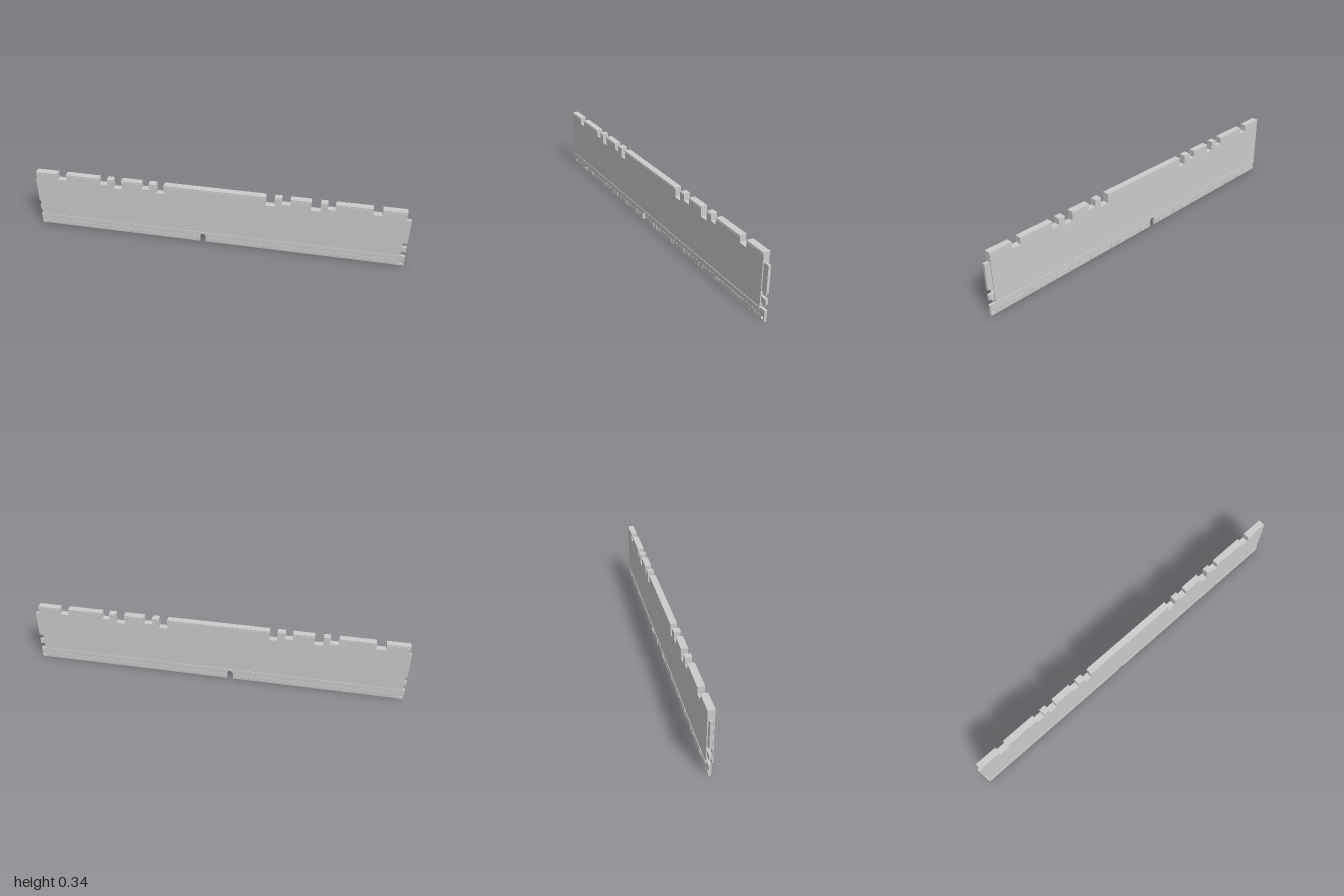
import * as THREE from 'three';

const grey = new THREE.MeshStandardMaterial({ color: 0xcccccc, flatShading: true });

// Spreader extents, and notches along its top as [left, right, floor height]
const X0 = -0.988, X1 = 0.974, TOP = 0.342, DEEP = 0.29, SHALLOW = 0.306;
const NOTCHES = [
  [-0.868, -0.82, SHALLOW], [-0.634, -0.59, SHALLOW], [-0.556, -0.511, DEEP],
  [-0.4, -0.361, SHALLOW], [-0.32, -0.28, DEEP], [0.261, 0.307, DEEP],
  [0.344, 0.388, SHALLOW], [0.495, 0.543, DEEP], [0.579, 0.618, SHALLOW], [0.806, 0.853, SHALLOW],
];

function slab(name, shape, zMin, zMax) {
  const geo = new THREE.ExtrudeGeometry(shape, { depth: zMax - zMin, bevelEnabled: false, curveSegments: 8 });
  geo.translate(0, 0, zMin);
  const mesh = new THREE.Mesh(geo, grey);
  mesh.name = name;
  return mesh;
}

function box(name, x0, x1, y0, y1, z0, z1) {
  const mesh = new THREE.Mesh(new THREE.BoxGeometry(x1 - x0, y1 - y0, z1 - z0), grey);
  mesh.position.set((x0 + x1) / 2, (y0 + y1) / 2, (z0 + z1) / 2);
  mesh.name = name;
  return mesh;
}

// Rectangle with the notches cut into its top edge
function notchedShape(bottom, top) {
  const s = new THREE.Shape();
  s.moveTo(X0, bottom);
  s.lineTo(X1, bottom);
  s.lineTo(X1, top);
  for (const [a, b, floor] of [...NOTCHES].reverse()) {
    s.lineTo(b, top);
    s.lineTo(b, floor);
    s.lineTo(a, floor);
    s.lineTo(a, top);
  }
  s.lineTo(X0, top);
  s.closePath();
  return s;
}

// Circuit board with key slot, stepped ends and corner holes
function boardShape() {
  const s = new THREE.Shape();
  const key = -0.075, r = 0.016, inset = 0.962;
  const end = [[1, 0], [1, 0.06], [inset, 0.06], [inset, 0.09], [1, 0.09], [1, 0.118],
    [inset, 0.118], [inset, 0.146], [1, 0.146], [1, 0.29]];
  s.moveTo(-1, 0);
  s.lineTo(key - r, 0);
  s.lineTo(key - r, 0.032);
  s.absarc(key, 0.032, r, Math.PI, 0, true);
  s.lineTo(key + r, 0);
  end.forEach(([x, y]) => s.lineTo(x, y));
  [...end].reverse().forEach(([x, y]) => s.lineTo(-x, y));
  for (const x of [-0.986, 0.986]) {
    const hole = new THREE.Path();
    hole.absarc(x, 0.017, 0.008, 0, Math.PI * 2, true);
    s.holes.push(hole);
  }
  return s;
}

// Contact pads wrap the lower edge: one wide pad then four narrow ones, repeated
function contacts() {
  const group = new THREE.Group();
  group.name = 'edgeContacts';
  const s = new THREE.Shape();
  s.moveTo(-0.005, 0.001);
  s.lineTo(0.005, 0.001);
  s.lineTo(0.0085, 0.006);
  s.lineTo(0.0085, 0.03);
  s.lineTo(-0.0085, 0.03);
  s.lineTo(-0.0085, 0.006);
  s.closePath();
  const addPad = (x, width) => {
    const pad = slab('contactPad', s, 0, width);
    pad.rotation.y = Math.PI / 2;
    pad.position.x = x;
    group.add(pad);
  };
  const fill = (from, to, count) => {
    const pitch = (to - from) / count;
    for (let i = 0; i < count; i++) {
      const x = from + i * pitch;
      addPad(x, pitch * 0.54);
      for (let j = 0; j < 4; j++) addPad(x + pitch * (0.57 + j * 0.11), pitch * 0.08);
    }
  };
  fill(-0.965, -0.096, 6);
  fill(-0.054, 0.965, 7);
  return group;
}

// One side plate: recessed core, main face, and lips along the lower and upper edges
function sidePlate(name) {
  const group = new THREE.Group();
  group.name = name;
  group.add(slab('plateCore', notchedShape(0.061, TOP), 0.0115, 0.0145));
  group.add(slab('plateFace', notchedShape(0.071, 0.333), 0.0145, 0.0165));
  group.add(box('lowerLip', X0, X1, 0.06, 0.067, 0.0125, 0.0175));
  let start = X0;
  for (const [a, b] of [...NOTCHES, [X1, X1]]) {
    group.add(box('upperLip', start, a, 0.336, TOP, 0.0145, 0.0175));
    start = b;
  }
  return group;
}

export function createModel() {
  const model = new THREE.Group();
  model.name = 'memoryModule';
  model.add(slab('circuitBoard', boardShape(), -0.007, 0.007));
  model.add(contacts());

  // Heat spreader: two plates joined by a ridge that sits on the board
  const spreader = new THREE.Group();
  spreader.name = 'heatSpreader';
  spreader.add(slab('topRidge', notchedShape(0.286, TOP), -0.0115, 0.0115));
  spreader.add(sidePlate('frontPlate'));
  const back = sidePlate('backPlate');
  back.scale.z = -1;
  spreader.add(back);
  model.add(spreader);
  return model;
}
